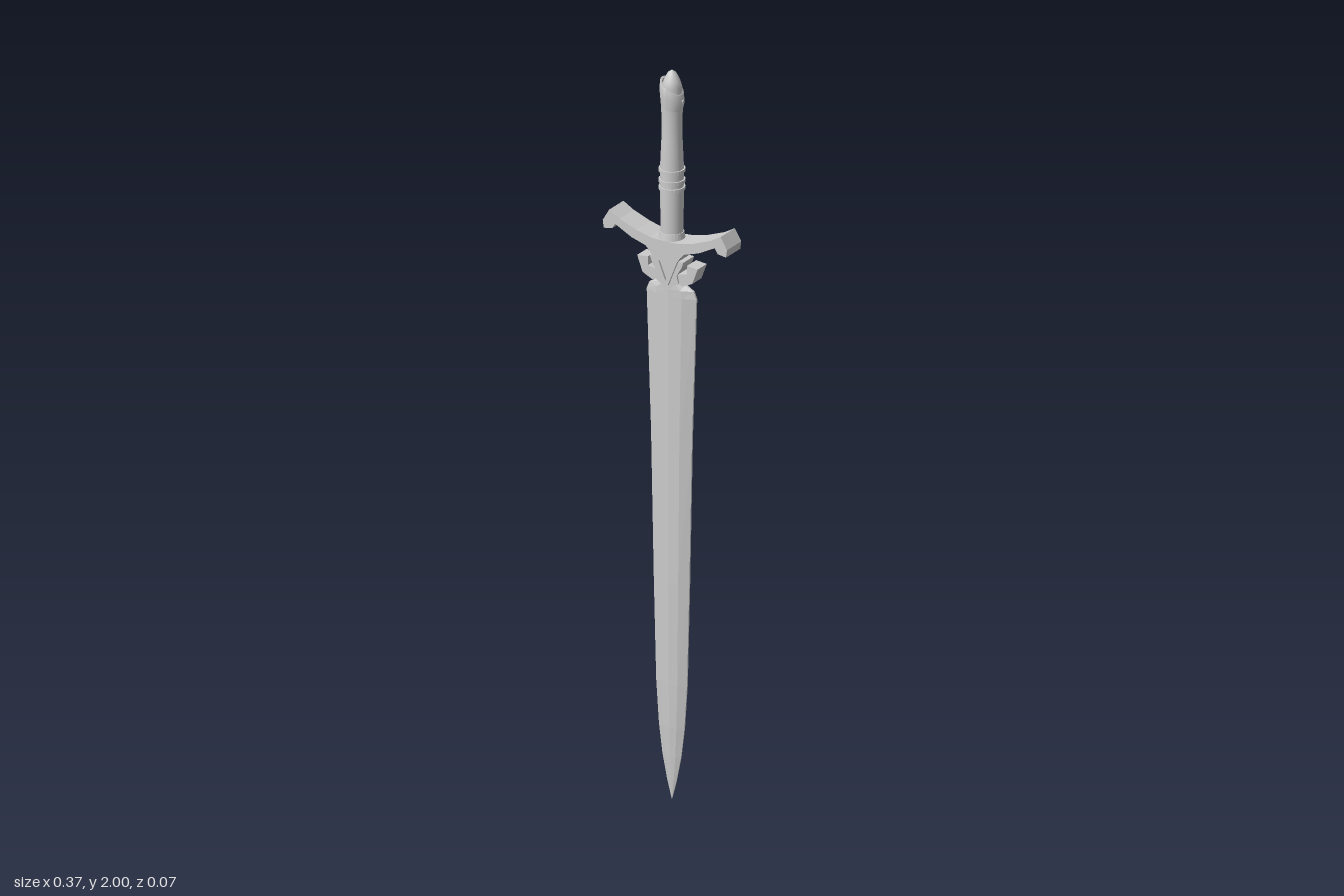
import * as THREE from 'three';

const flat = new THREE.MeshStandardMaterial({ color: 0xcccccc, flatShading: true });
const smooth = new THREE.MeshStandardMaterial({ color: 0xcccccc, side: THREE.DoubleSide });

function add(group, name, geometry, material = flat) {
  const mesh = new THREE.Mesh(geometry, material);
  mesh.name = name;
  group.add(mesh);
  return mesh;
}

// Extruded outline, centred on z = 0
function plate(points, halfDepth) {
  const shape = new THREE.Shape(points.map(([x, y]) => new THREE.Vector2(x, y)));
  return new THREE.ExtrudeGeometry(shape, { depth: halfDepth * 2, bevelEnabled: false })
    .translate(0, 0, -halfDepth);
}

// Adds the mirrored half to an outline running from bottom to top on +x
const mirrored = (half) => [...half, ...half.slice().reverse().map(([x, y]) => [-x, y])];

const lathe = (points, sides) =>
  new THREE.LatheGeometry(points.map(([r, y]) => new THREE.Vector2(r, y)), sides);

// Faceted blade lofted through [height, half width, half thickness] sections
function bladeGeometry() {
  const sections = [
    [0, 0.001, 0.001], [0.05, 0.014, 0.005], [0.12, 0.028, 0.009], [0.2, 0.038, 0.013],
    [0.32, 0.046, 0.016], [0.6, 0.053, 0.018], [1.0, 0.061, 0.019], [1.385, 0.074, 0.02],
    [1.405, 0.066, 0.02], [1.42, 0.04, 0.02], [1.45, 0.036, 0.02],
  ];
  const profile = [[1, 0.12], [0.52, 0.82], [0, 1], [-0.52, 0.82], [-1, 0.12],
    [-1, -0.12], [-0.52, -0.82], [0, -1], [0.52, -0.82], [1, -0.12]];
  const n = profile.length;
  const positions = [];
  const index = [];
  sections.forEach(([y, w, t], i) => {
    profile.forEach(([px, pz], j) => {
      positions.push(px * w, y, pz * t);
      if (i === sections.length - 1) return;
      const a = i * n + j, b = i * n + (j + 1) % n;
      index.push(a, a + n, b, b, a + n, b + n);
    });
  });
  const geometry = new THREE.BufferGeometry();
  geometry.setAttribute('position', new THREE.Float32BufferAttribute(positions, 3));
  geometry.setIndex(index);
  const faceted = geometry.toNonIndexed();
  faceted.computeVertexNormals();
  return faceted;
}

export function createModel() {
  const sword = new THREE.Group();
  sword.name = 'sword';

  add(sword, 'blade', bladeGeometry());

  // Crossguard with upswept arms and hooked ends
  add(sword, 'crossguard', plate(mirrored([
    [0.032, 1.485], [0.046, 1.505], [0.058, 1.517], [0.1, 1.53], [0.148, 1.555],
    [0.157, 1.541], [0.182, 1.537], [0.185, 1.558], [0.166, 1.59],
    [0.135, 1.572], [0.085, 1.553], [0.045, 1.543], [0.02, 1.541],
  ]), 0.034));

  // Tapered collar holding the blade root
  add(sword, 'collar', plate(mirrored([
    [0.01, 1.415], [0.035, 1.43], [0.03, 1.45], [0.045, 1.475], [0.05, 1.49],
  ]), 0.026));

  for (const side of [-1, 1]) {
    // Side leaves flaring outward from the collar
    const leaf = [[0.025, 1.43], [0.045, 1.422], [0.074, 1.436], [0.09, 1.479],
      [0.058, 1.482], [0.058, 1.458], [0.03, 1.452]].map(([x, y]) => [x * side, y]);
    add(sword, 'collarLeaf', plate(leaf, 0.022));

    // Raised ribs on the front and back of the collar
    for (const face of [-1, 1]) {
      const rib = add(sword, 'collarRib', new THREE.BoxGeometry(0.011, 0.085, 0.012));
      rib.position.set(side * 0.018, 1.462, face * 0.026);
      rib.rotation.z = -side * 0.38;
    }
  }

  // Grip
  add(sword, 'grip', lathe([
    [0.029, 1.535], [0.03, 1.66], [0.03, 1.74], [0.027, 1.81], [0.026, 1.86], [0.028, 1.9], [0.029, 1.92],
  ], 24), smooth);
  for (const y of [1.678, 1.698, 1.727]) {
    add(sword, 'gripRing', new THREE.CylinderGeometry(0.034, 0.034, 0.009, 24)).position.y = y;
  }
  add(sword, 'gripFerrule', new THREE.CylinderGeometry(0.031, 0.034, 0.018, 24)).position.y = 1.55;

  // Pommel hood whose rim is cut at a slant
  const hood = lathe([[0.027, 1.89], [0.032, 1.93], [0.03, 1.955], [0.025, 1.955]], 24);
  const p = hood.attributes.position;
  for (let i = 0; i < p.count; i++) {
    if (p.getY(i) > 1.92) p.setY(i, p.getY(i) - p.getX(i) * 0.65);
  }
  hood.computeVertexNormals();
  add(sword, 'pommelHood', hood, smooth);

  const spur = add(sword, 'pommelSpur', new THREE.ConeGeometry(0.008, 0.025, 6));
  spur.position.set(0.029, 1.917, 0);
  spur.rotation.z = -0.7;

  // Pointed pommel cap
  add(sword, 'pommelCap', lathe([
    [0.026, 1.9], [0.026, 1.955], [0.021, 1.972], [0.011, 1.992], [0, 2],
  ], 24), smooth);

  return sword;
}
